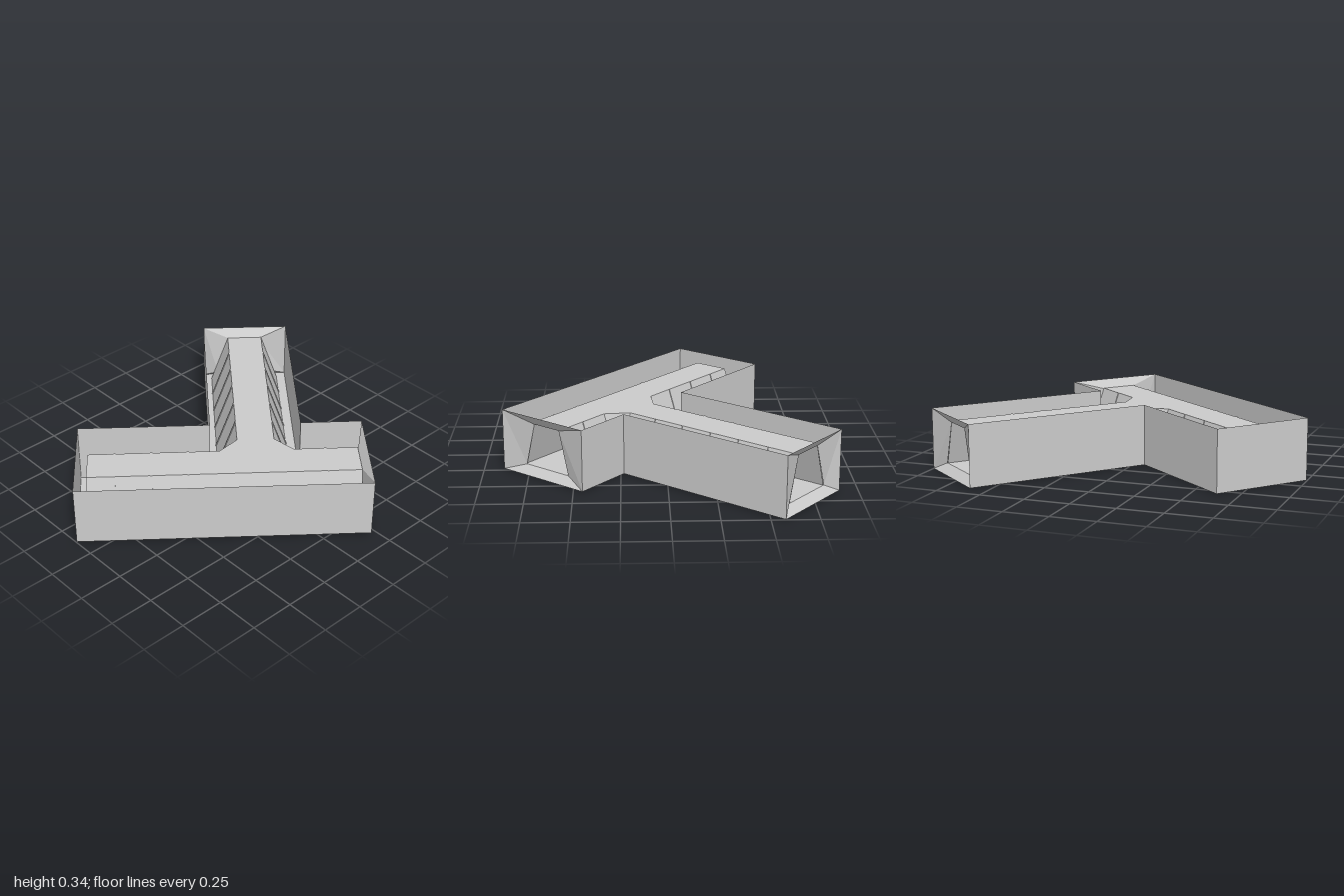
import * as THREE from 'three';

// Plan coordinates: u runs along the bar, v runs along the stem (v = -z before the final turn).
const H = 0.34;
const BAR = { u0: -0.845, u1: 0.742, v0: -0.542, v1: 0.029, mid: -0.257 };
const STEM = { u0: -0.108, u1: 0.4, v1: 1.08, mid: 0.142 };
const END = { bar: 0.7, stem: 1.035 };
const HATCH = [[-0.385, -0.36], [-0.08, -0.36], [-0.08, -0.13], [-0.385, -0.13]];

const mat = new THREE.MeshStandardMaterial({ color: 0xcccccc, side: THREE.DoubleSide, flatShading: true });

function mesh(geo, name) {
  const m = new THREE.Mesh(geo, mat);
  m.name = name;
  return m;
}

// Flat faces, each a list of 3 or 4 [u, y, v] corners
function faces(list, name) {
  const pos = [];
  for (const f of list) {
    for (let i = 1; i < f.length - 1; i++) {
      for (const [u, y, v] of [f[0], f[i], f[i + 1]]) pos.push(u, y, -v);
    }
  }
  const g = new THREE.BufferGeometry();
  g.setAttribute('position', new THREE.Float32BufferAttribute(pos, 3));
  g.computeVertexNormals();
  return mesh(g, name);
}

// Horizontal slab outline at height y, with an optional hole
function plate(points, y, name, hole) {
  const vec = (a) => a.map(([u, v]) => new THREE.Vector2(u, v));
  const s = new THREE.Shape(vec(points));
  if (hole) s.holes.push(new THREE.Path(vec(hole)));
  return mesh(new THREE.ShapeGeometry(s).rotateX(-Math.PI / 2).translate(0, y, 0), name);
}

// Vertical or leaning wall between two plan points
const wall = (a, b, y0, y1, a2 = a, b2 = b) =>
  [[a[0], y0, a[1]], [b[0], y0, b[1]], [b2[0], y1, b2[1]], [a2[0], y1, a2[1]]];

// T-shaped tunnel with leaning walls: half widths b at the base and r at the roof
function tunnel(b, r, y0, y1, uEnd, name, deckHole) {
  const g = new THREE.Group();
  g.name = name;
  const m = BAR.mid, c = STEM.mid, { bar: ue, stem: ve } = END;
  const outline = (k) => [
    [uEnd, m - k], [ue, m - k], [ue, m + k], [c + b, m + k],
    [c + k, m + b], [c + k, ve], [c - k, ve], [c - k, m + b],
    [c - b, m + k], [uEnd, m + k],
  ];
  const top = outline(r), base = outline(b);
  const list = [];
  // Wall runs; the open ends are skipped, the corners become triangles
  for (const i of [0, 2, 3, 4, 6, 7, 8, 9]) {
    const j = (i + 1) % 10;
    list.push(wall(base[i], base[j], y0, y1, top[i], top[j]));
  }
  g.add(faces(list, name + 'Walls'));
  g.add(plate(top, y1, name + 'Roof'));
  if (deckHole) {
    const deck = base.filter((_, i) => i !== 3 && i !== 8);
    g.add(plate(deck, y0, name + 'Deck', deckHole));
  }
  return g;
}

// Funnel between an outer rectangle and the tunnel mouth; at(s, d) maps side and depth to the plan
function mouth(at, s0, s1, mid, outer, inner, b, r) {
  const o = [[s0, 0], [s1, 0], [s1, H], [s0, H]];
  const n = [[mid - b, 0.045], [mid + b, 0.045], [mid + r, 0.285], [mid - r, 0.285]];
  const P = ([s, y], d) => { const [u, v] = at(s, d); return [u, y, v]; };
  return faces(o.map((_, i) => {
    const j = (i + 1) % 4;
    return [P(o[i], outer), P(o[j], outer), P(n[j], inner), P(n[i], inner)];
  }), 'entranceFunnel');
}

// Slim seam ribs lying on the leaning walls of one tunnel arm
function ribs(positions, sides, b, r, h, name) {
  const g = new THREE.Group();
  g.name = name;
  for (const x of positions) {
    for (const s of sides) {
      const rib = mesh(new THREE.BoxGeometry(0.012, Math.hypot(h, b - r), 0.008), 'seamRib');
      rib.position.set(x, h / 2, -s * (b + r) / 2);
      rib.rotation.x = Math.atan2(s * (b - r), h);
      g.add(rib);
    }
  }
  return g;
}

export function createModel() {
  const root = new THREE.Group();
  root.name = 'corridorJunction';
  const model = new THREE.Group();
  model.name = 'corridor';
  model.rotation.y = THREE.MathUtils.degToRad(-39.7);
  root.add(model);

  // Outer casing, open on top and at two ends
  const T = [
    [BAR.u0, BAR.v0], [BAR.u1, BAR.v0], [BAR.u1, BAR.v1], [STEM.u1, BAR.v1],
    [STEM.u1, STEM.v1], [STEM.u0, STEM.v1], [STEM.u0, BAR.v1], [BAR.u0, BAR.v1],
  ];
  model.add(faces([0, 2, 3, 5, 6, 7].map((i) => wall(T[i], T[(i + 1) % 8], 0, H)), 'outerWalls'));
  model.add(plate(T, 0, 'outerFloor', HATCH));

  // Floor hatch sides
  model.add(faces(HATCH.map((p, i) => wall(p, HATCH[(i + 1) % 4], 0, 0.045)), 'hatchSides'));

  // Tunnel skin and its inner lining
  const b = 0.205, r = 0.103, h = 0.292;
  model.add(tunnel(b, r, 0, h, -0.785, 'tunnel'));
  model.add(tunnel(0.16, 0.088, 0.045, 0.285, -0.77, 'lining', HATCH));

  // Flared entrances
  model.add(mouth((s, d) => [d, s], BAR.v0, BAR.v1, BAR.mid, BAR.u1, END.bar, 0.15, 0.088));
  model.add(mouth((s, d) => [s, d], STEM.u0, STEM.u1, STEM.mid, STEM.v1, END.stem, 0.165, 0.088));

  // Panel seams
  const barFront = ribs([-0.637, -0.437, -0.237, 0.338, 0.52], [-1], b, r, h, 'barFrontRibs');
  const barBack = ribs([-0.637, -0.437, -0.237, 0.52], [1], b, r, h, 'barBackRibs');
  for (const g of [barFront, barBack]) g.position.z = -BAR.mid;
  const stem = ribs([0.12, 0.305, 0.49, 0.67, 0.855], [-1, 1], b, r, h, 'stemRibs');
  stem.rotation.y = Math.PI / 2;
  stem.position.x = STEM.mid;
  model.add(barFront, barBack, stem);

  return root;
}
